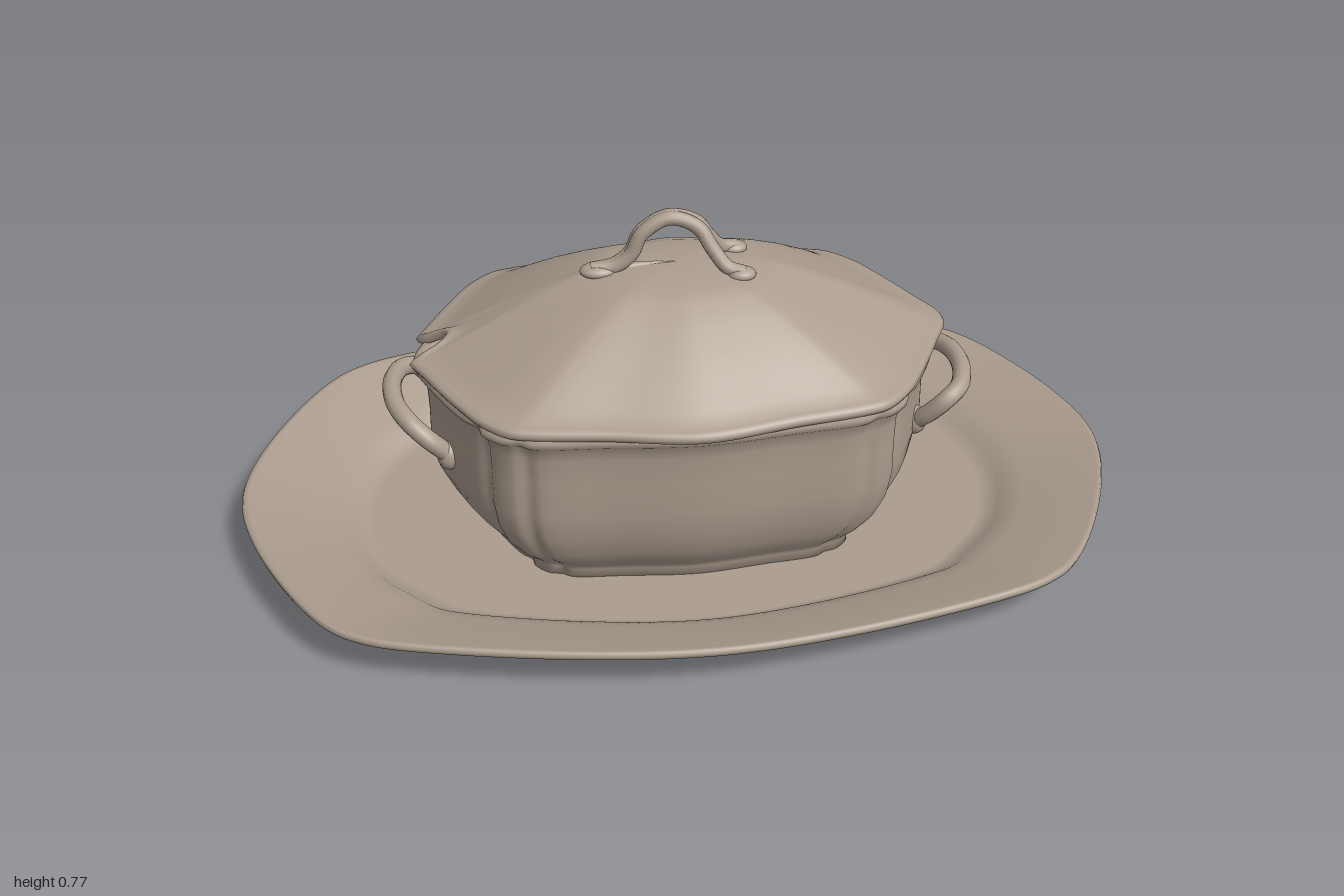
import * as THREE from 'three';

const SEGMENTS = 288;

// Closed outline from one quarter (from +x axis to +z axis), mirrored to all four.
function outline(quarter) {
  const half = [...quarter, ...quarter.slice(0, -1).reverse().map(([x, z]) => [-x, z])];
  const full = [...half, ...half.slice(1, -1).reverse().map(([x, z]) => [x, -z])];
  const curve = new THREE.CatmullRomCurve3(
    full.map(([x, z]) => new THREE.Vector3(x, 0, z)), true, 'centripetal');
  return Array.from({ length: SEGMENTS }, (_, i) => curve.getPoint(i / SEGMENTS));
}

// Skin a stack of rings that runs from the bottom centre, outward, and back over the top.
function loft(rings) {
  const pos = [], idx = [], n = SEGMENTS;
  rings.forEach(ring => ring.forEach(p => pos.push(p.x, p.y, p.z)));
  for (let i = 0; i < rings.length - 1; i++) {
    for (let j = 0; j < n; j++) {
      const k = (j + 1) % n;
      const a = i * n + j, b = a + n, c = i * n + k, d = c + n;
      idx.push(a, b, c, c, b, d);
    }
  }
  const geo = new THREE.BufferGeometry();
  geo.setAttribute('position', new THREE.Float32BufferAttribute(pos, 3));
  geo.setIndex(idx);
  geo.computeVertexNormals();
  return geo;
}

// Rings as scaled copies of one outline: profile is [scale, height].
const scaledRings = (base, profile) => profile.map(([s, y]) =>
  base.map(p => new THREE.Vector3(p.x * s, y, p.z * s)));

export function createModel() {
  const model = new THREE.Group();
  model.name = 'coveredTureen';
  const clay = new THREE.MeshStandardMaterial({ color: 0xab9c8e });
  clay.name = 'warm clay';

  const add = (parent, name, geo) => {
    const mesh = new THREE.Mesh(geo, clay);
    mesh.name = name;
    parent.add(mesh);
    return mesh;
  };
  const tube = (parent, name, points, radius) => add(parent, name, new THREE.TubeGeometry(
    new THREE.CatmullRomCurve3(points.map(p => new THREE.Vector3(...p))), 48, radius, 14));
  const pad = (parent, name, at, size) => {
    const mesh = add(parent, name, new THREE.SphereGeometry(1, 20, 14));
    mesh.position.set(...at);
    mesh.scale.set(...size);
  };

  // Platter: blends from the well outline (t = 0) to the rim outline (t = 1)
  const well = outline([[0.75, 0], [0.74, 0.09], [0.69, 0.22], [0.6, 0.32],
    [0.55, 0.365], [0.49, 0.39], [0.24, 0.45], [0, 0.475]]);
  const rim = outline([[1, 0], [0.97, 0.16], [0.87, 0.38], [0.79, 0.49],
    [0.725, 0.535], [0.64, 0.567], [0.3, 0.64], [0, 0.668]]);
  const platterProfile = [ // [well scale, blend, height]
    [0, 0, 0], [0.95, 0, 0], [0.985, 0, 0.001], [1, 0, 0.008], [1, 0.1, 0.026],
    [1, 0.3, 0.046], [1, 0.6, 0.07], [1, 0.94, 0.094], [1, 0.99, 0.099],
    [1, 1, 0.107], [1, 0.985, 0.115], [1, 0.94, 0.115], [1, 0.6, 0.092],
    [1, 0.25, 0.066], [1, 0.1, 0.052], [1, 0.03, 0.036], [0.975, 0, 0.025],
    [0.95, 0, 0.022], [0, 0, 0.022],
  ];
  add(model, 'platter', loft(platterProfile.map(([s, t, y]) => well.map((p, i) => {
    const v = p.clone().multiplyScalar(s).lerp(rim[i], t);
    v.y = y;
    return v;
  }))));

  // Bowl with fluted corners
  const bowlOutline = outline([[0.572, 0], [0.54, 0.1], [0.475, 0.225], [0.447, 0.255],
    [0.44, 0.285], [0.402, 0.322], [0.37, 0.33], [0.342, 0.347], [0.2, 0.362], [0, 0.38]]);
  add(model, 'bowl', loft(scaledRings(bowlOutline, [
    [0, 0.02], [0.76, 0.02], [0.8, 0.024], [0.8, 0.045], [0.82, 0.06], [0.87, 0.085],
    [0.92, 0.12], [0.965, 0.175], [0.985, 0.24], [0.982, 0.32], [0.985, 0.385],
    [1, 0.415], [1.025, 0.425], [1.03, 0.438], [1.015, 0.447], [0.97, 0.447],
    [0.945, 0.435], [0.93, 0.3], [0.85, 0.1], [0.7, 0.06], [0, 0.06],
  ])));

  // Lid with a ladle notch at the right-hand end
  const lid = new THREE.Group();
  lid.name = 'lid';
  model.add(lid);
  const lidOutline = outline([[0.6, 0], [0.558, 0.1], [0.49, 0.23], [0.455, 0.285],
    [0.4, 0.337], [0.355, 0.352], [0.2, 0.376], [0, 0.41]]);
  const lidRings = scaledRings(lidOutline, [
    [0, 0.625], [0.35, 0.605], [0.65, 0.535], [0.85, 0.475], [0.94, 0.452], [0.97, 0.443],
    [1, 0.445], [1.01, 0.455], [1, 0.464], [0.975, 0.468], [0.94, 0.472], [0.88, 0.488],
    [0.78, 0.519], [0.65, 0.557], [0.5, 0.596], [0.38, 0.624], [0.3, 0.636],
    [0.2, 0.643], [0.1, 0.647], [0, 0.648],
  ]);
  lidRings.forEach(ring => ring.forEach((p, j) => {
    const edge = lidOutline[j];
    const d = Math.abs(edge.z + 0.015) / 0.045;
    if (edge.x > -0.5 || d >= 1) return;
    const cut = 0.15 * Math.sqrt(1 - d * d);
    const reach = p.x / edge.x;
    p.x *= 1 - cut;
    p.z *= 1 - cut * 0.2;
    p.y += cut * 0.25 * reach;
  }));
  add(lid, 'lidShell', loft(lidRings));

  // Arched lid handle that forks into two feet
  for (const side of [1, -1]) {
    tube(lid, 'lidHandleBranch', [
      [-0.19, 0.642, 0], [-0.14, 0.648, side * 0.005], [-0.105, 0.675, side * 0.007],
      [-0.08, 0.724, side * 0.007], [-0.02, 0.757, side * 0.006], [0.04, 0.735, side * 0.014],
      [0.07, 0.69, side * 0.033], [0.1, 0.653, side * 0.051], [0.135, 0.643, side * 0.062],
    ], 0.016);
    pad(lid, 'lidHandleFoot', [0.13, 0.64, side * 0.061], [0.031, 0.016, 0.025]);
  }
  pad(lid, 'lidHandleTail', [-0.175, 0.638, 0], [0.042, 0.016, 0.03]);

  // Side handles, one turned half round from the other
  for (const [name, turn] of [['leftHandle', 0], ['rightHandle', Math.PI]]) {
    const handle = new THREE.Group();
    handle.name = name;
    handle.rotation.y = turn;
    tube(handle, 'handleLoop', [
      [0.525, 0.26, 0.115], [0.55, 0.295, 0.14], [0.585, 0.335, 0.15], [0.618, 0.35, 0.125],
      [0.638, 0.358, 0.07], [0.642, 0.36, 0.02], [0.632, 0.355, -0.045],
      [0.602, 0.34, -0.1], [0.565, 0.31, -0.122], [0.525, 0.265, -0.115],
    ], 0.021);
    for (const z of [0.113, -0.113]) {
      pad(handle, 'handleRoot', [0.525, 0.262, z], [0.027, 0.035, 0.028]);
    }
    model.add(handle);
  }

  return model;
}
